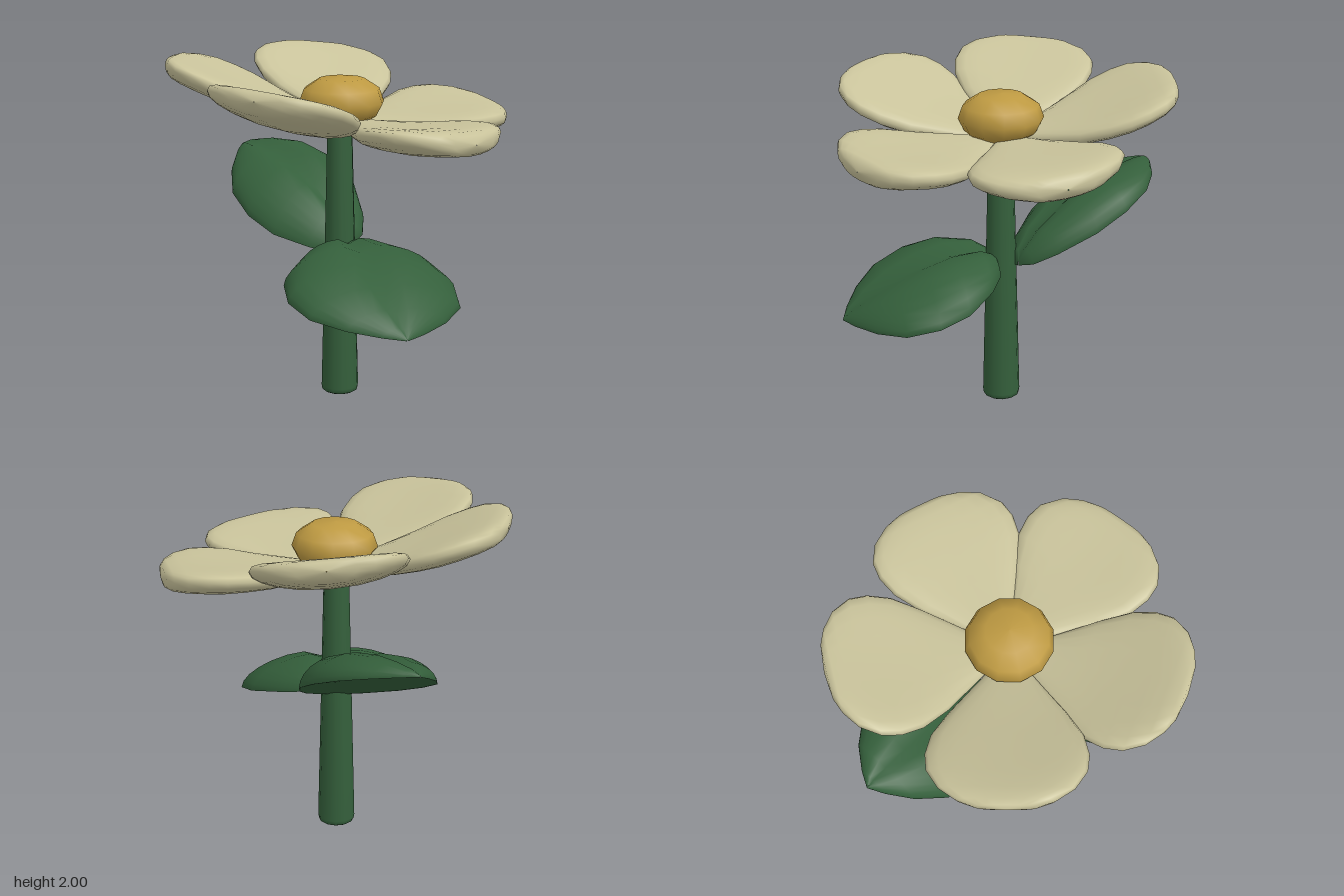
import * as THREE from 'three';

const petalCream = new THREE.MeshStandardMaterial({ color: 0xc9c39b });
petalCream.name = 'petalCream';
const centreGold = new THREE.MeshStandardMaterial({ color: 0xbe9a42 });
centreGold.name = 'centreGold';
const leafGreen = new THREE.MeshStandardMaterial({ color: 0x345f3b });
leafGreen.name = 'leafGreen';

const STEM_X = -0.01, STEM_Z = 0.03;

// Skin a list of closed loops (each running counter-clockwise seen from +z)
function loft(loops) {
  const n = loops[0].length, index = [];
  for (let i = 0; i < loops.length - 1; i++) {
    for (let j = 0; j < n; j++) {
      const k = (j + 1) % n;
      const a = i * n + j, b = i * n + k, c = a + n, d = b + n;
      index.push(a, b, d, a, d, c);
    }
  }
  const geo = new THREE.BufferGeometry();
  geo.setAttribute('position', new THREE.Float32BufferAttribute(loops.flat(2), 3));
  geo.setIndex(index);
  return geo;
}

// Turn the geometry towards a heading, move it, then lean it on a sloping plane
function place(geo, heading, x, y, z, slopeX, slopeZ) {
  geo.rotateY(heading).translate(x, y, z);
  const p = geo.attributes.position;
  for (let i = 0; i < p.count; i++) {
    p.setY(i, p.getY(i) + slopeX * p.getX(i) + slopeZ * p.getZ(i));
  }
  geo.computeVertexNormals();
  return geo;
}

const signedPow = (v, e) => Math.sign(v) * Math.pow(Math.abs(v), e);

// Petal: [distance, half width, half thickness, height of the middle]
function petalGeometry(lift, roll) {
  const rows = [
    [0.02, 0.002, 0.002, 0], [0.03, 0.022, 0.03, 0], [0.2, 0.15, 0.055, 0.01],
    [0.41, 0.308, 0.068, 0.033], [0.56, 0.395, 0.075, 0.06], [0.68, 0.422, 0.078, 0.082],
    [0.78, 0.41, 0.078, 0.105], [0.88, 0.345, 0.075, 0.127], [0.945, 0.25, 0.068, 0.14],
    [0.978, 0.16, 0.05, 0.145], [0.992, 0.003, 0.002, 0.147],
  ];
  const n = 20;
  return loft(rows.map(([r, w, h, y]) => Array.from({ length: n }, (_, j) => {
    const a = (j / n) * Math.PI * 2;
    const x = w * signedPow(Math.cos(a), 0.85);
    const middle = y + lift * r * r + roll * x + 0.29 * x * x;
    return [x, middle + h * signedPow(Math.sin(a), 0.8), r];
  })));
}

// Leaf: domed top with a crease along the middle, nearly flat underside
function leafGeometry(length, halfWidth, thickness) {
  const rows = [
    [-0.02, 0.01, 0.15], [0, 0.32, 0.42], [0.1, 0.6, 0.76], [0.3, 0.92, 1], [0.5, 1, 0.97],
    [0.7, 0.89, 0.77], [0.85, 0.58, 0.5], [0.95, 0.24, 0.25], [1, 0.005, 0.04],
  ];
  const n = 14;
  return loft(rows.map(([s, w, h]) => {
    const loop = [];
    for (let j = 0; j < 2 * n; j++) {
      const v = Math.cos((j / n) * Math.PI);
      const round = 1 - v * v;
      const crease = 1 - 0.25 * Math.exp(-((v / 0.15) ** 2));
      const y = j <= n ? Math.pow(round, 0.55) * crease : 0.1 * round;
      loop.push([v * w * halfWidth, y * h * thickness, s * length]);
    }
    return loop;
  }));
}

function lathe(points) {
  return new THREE.LatheGeometry(points.map(([r, y]) => new THREE.Vector2(r, y)), 12);
}

export function createModel() {
  const model = new THREE.Group();
  model.name = 'flower';
  const add = (name, geo, material, parent = model) => {
    const mesh = new THREE.Mesh(geo, material);
    mesh.name = name;
    parent.add(mesh);
    return mesh;
  };

  // Tapered stem with a softened foot
  add('stem', lathe([[0, 0], [0.09, 0], [0.106, 0.01], [0.11, 0.035], [0.072, 1.6], [0, 1.62]]),
    leafGreen).position.set(STEM_X, 0, STEM_Z);

  // Five cupped petals, the whole head leaning: [turn, lift of the tip, sideways roll]
  const petals = new THREE.Group();
  petals.name = 'petals';
  model.add(petals);
  const poses = [[0, 0.06, -0.04], [-0.04, -0.03, -0.03], [0, 0.005, 0], [0, 0.105, 0.08],
    [0.04, 0.015, 0.08]];
  poses.forEach(([turn, lift, roll], i) => {
    const heading = Math.PI - (i * Math.PI * 2) / 5 + turn;
    add('petal' + (i + 1), place(petalGeometry(lift, roll), heading, 0, 1.625, STEM_Z, -0.14, -0.08),
      petalCream, petals);
  });

  // Flattened golden centre
  add('flowerCentre', lathe([[0, 1.59], [0.12, 1.61], [0.21, 1.67], [0.245, 1.74], [0.218, 1.815],
    [0.13, 1.873], [0, 1.883]]), centreGold).position.set(0, 0, STEM_Z);

  // Leaves on opposite sides of the stem
  add('frontLeaf', place(leafGeometry(0.9, 0.505, 0.21),
    Math.atan2(0.2, 0.88), 0, 0.86, 0.08, -0.1, -0.24), leafGreen);
  add('backLeaf', place(leafGeometry(0.98, 0.36, 0.215),
    Math.atan2(-0.55, -0.83), 0.06, 0.835, -0.08, -0.05, -0.515), leafGreen);

  return model;
}
